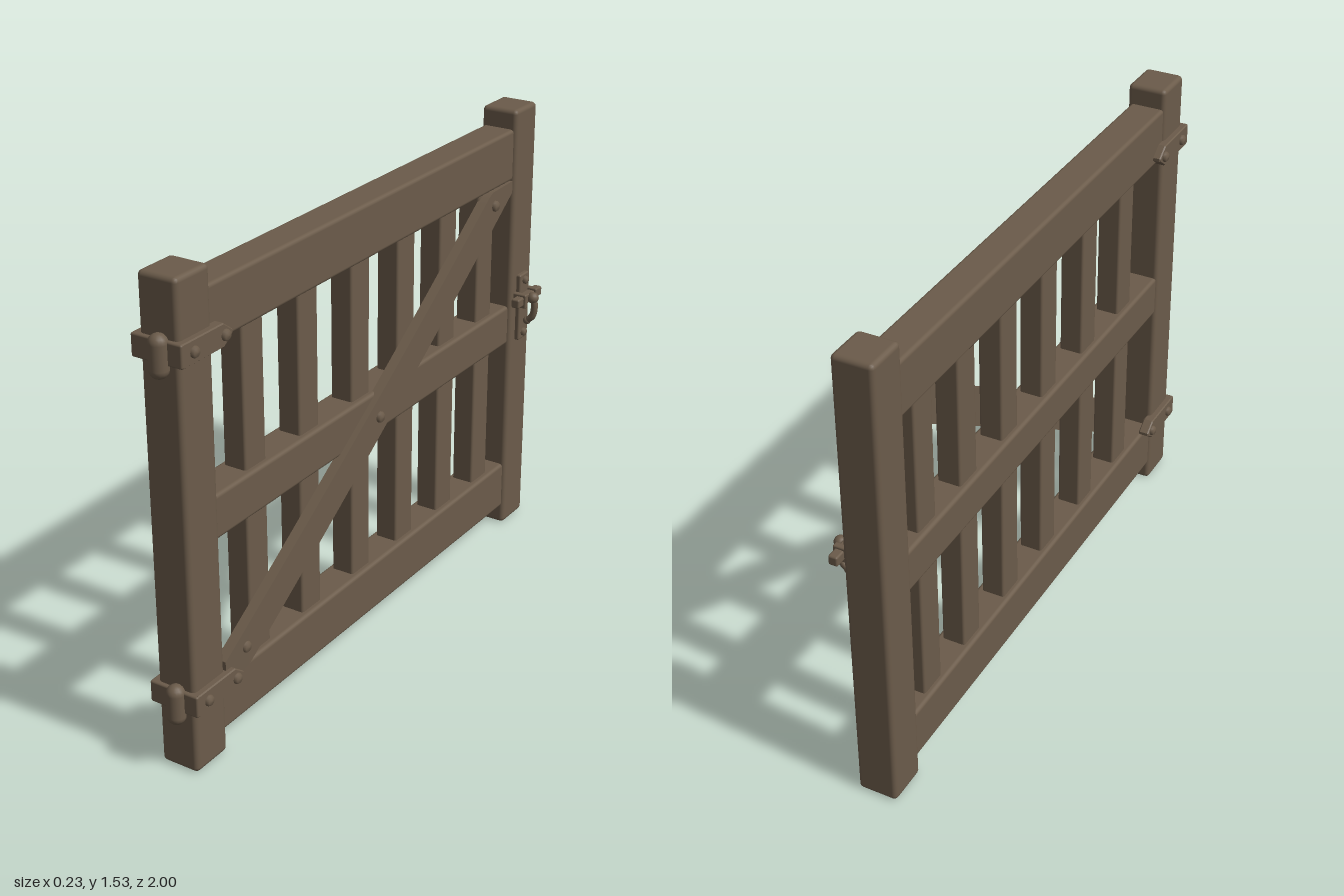
import * as THREE from 'three';
import { RoundedBoxGeometry } from 'three/addons/geometries/RoundedBoxGeometry.js';

const brown = new THREE.MeshStandardMaterial({ color: 0x6b5b4a });
brown.name = 'weathered brown';

export function createModel() {
  const gate = new THREE.Group();
  gate.name = 'gate';

  const add = (name, geometry, x = 0, y = 0, z = 0, parent = gate) => {
    const mesh = new THREE.Mesh(geometry, brown);
    mesh.name = name;
    mesh.position.set(x, y, z);
    parent.add(mesh);
    return mesh;
  };

  // Rounded block given by its limits on each axis
  const block = (name, [x0, x1], [y0, y1], [z0, z1], r = 0.01, parent = gate) =>
    add(name, new RoundedBoxGeometry(x1 - x0, y1 - y0, z1 - z0, 2, r),
      (x0 + x1) / 2, (y0 + y1) / 2, (z0 + z1) / 2, parent);

  // Domed bolt head facing +x (side 1) or -x (side -1)
  const bolt = (name, x, y, z, side = 1, r = 0.018, parent = gate) => {
    const profile = [[r, 0], [r, 0.008], [r * 0.75, 0.014], [0, 0.016]]
      .map(([a, b]) => new THREE.Vector2(a, b));
    const mesh = add(name, new THREE.LatheGeometry(profile, 14), x, y, z, parent);
    mesh.rotation.z = -side * Math.PI / 2;
  };

  // Posts
  block('hingePost', [-0.085, 0.045], [0, 1.53], [0.81, 0.955], 0.015);
  block('latchPost', [-0.085, 0.045], [0, 1.53], [-0.985, -0.845], 0.015);

  // Rails
  const rails = { bottomRail: [0.065, 0.235], middleRail: [0.7, 0.84], topRail: [1.29, 1.465] };
  for (const [name, ySpan] of Object.entries(rails)) {
    block(name, [-0.08, 0.035], ySpan, [-0.86, 0.82], 0.012);
  }

  // Upright slats
  for (const z of [0.592, 0.323, 0.045, -0.215, -0.47, -0.712]) {
    block('slat', [-0.062, 0.015], [0.2, 1.32], [z - 0.05, z + 0.05], 0.008);
  }

  // Diagonal brace: sheared, trimmed at the rails and gently bowed outward
  const brace = new THREE.BoxGeometry(0.034, 0.136, 1.655, 1, 1, 60);
  const p = brace.attributes.position;
  for (let i = 0; i < p.count; i++) {
    const z = p.getZ(i) - 0.0175;
    const t = z / 0.83;
    const y = THREE.MathUtils.clamp(0.765 - 0.654 * z + p.getY(i), 0.23, 1.29);
    const outer = 0.043 + 0.012 * (1 - t * t) + 0.005 * t;
    p.setXYZ(i, p.getX(i) + outer - 0.017, y, z);
  }
  brace.computeVertexNormals();
  add('brace', brace);
  bolt('braceBolt', 0.045, 0.305, 0.71);
  bolt('braceBolt', 0.053, 0.765, 0);
  bolt('braceBolt', 0.04, 1.24, -0.72);
  bolt('braceBoltBack', 0.014, 1.24, -0.72, -1);

  // Hinges: a pointed strap on each face, a band round the post and a knuckle
  const strapShape = new THREE.Shape([
    [-0.96, -0.035], [-0.785, -0.035], [-0.745, -0.005], [-0.745, 0.005],
    [-0.785, 0.035], [-0.96, 0.035],
  ].map(([a, b]) => new THREE.Vector2(a, b)));
  const strapGeometry = new THREE.ExtrudeGeometry(strapShape, {
    depth: 0.028, bevelEnabled: true, bevelThickness: 0.004, bevelSize: 0.003,
    bevelOffset: -0.003, bevelSegments: 1,
  }).rotateY(Math.PI / 2);
  for (const [name, y] of [['lowerHinge', 0.24], ['upperHinge', 1.32]]) {
    const hinge = new THREE.Group();
    hinge.name = name;
    hinge.position.y = y;
    gate.add(hinge);
    add('strap', strapGeometry, 0.033, 0, 0, hinge);
    add('backStrap', strapGeometry, -0.101, 0, 0, hinge);
    block('band', [-0.105, 0.065], [-0.035, 0.035], [0.93, 0.968], 0.006, hinge);
    for (const z of [0.915, 0.78]) {
      bolt('strapBolt', 0.062, 0, z, 1, 0.017, hinge);
      bolt('strapBoltBack', -0.102, 0, z, -1, 0.017, hinge);
    }
    const knuckle = add('knuckle', new THREE.CapsuleGeometry(0.029, 0.075, 5, 16), -0.01, -0.01, 0.97, hinge);
    knuckle.scale.y = 0.98;
  }

  // Latch: back plate, sliding bar, keepers and hanging handle
  const latch = new THREE.Group();
  latch.name = 'latch';
  gate.add(latch);
  block('latchPlate', [0.035, 0.06], [0.705, 0.945], [-0.945, -0.885], 0.006, latch);
  block('latchBar', [0.055, 0.085], [0.845, 0.877], [-0.998, -0.832], 0.006, latch);
  for (const z of [-0.877, -0.952]) {
    block('keeper', [0.04, 0.092], [0.835, 0.885], [z - 0.01, z + 0.01], 0.005, latch);
  }
  add('handlePivot', new THREE.SphereGeometry(0.02, 14, 10), 0.095, 0.862, -0.915, latch);
  const handlePath = new THREE.CatmullRomCurve3([
    [0.098, 0.862], [0.102, 0.83], [0.095, 0.795], [0.075, 0.775],
  ].map(([x, y]) => new THREE.Vector3(x, y, -0.915)));
  add('handle', new THREE.TubeGeometry(handlePath, 14, 0.012, 10), 0, 0, 0, latch);
  add('handleTip', new THREE.SphereGeometry(0.014, 12, 8), 0.075, 0.775, -0.915, latch);
  bolt('plateBolt', 0.058, 0.922, -0.915, 1, 0.014, latch);
  bolt('plateBolt', 0.058, 0.73, -0.915, 1, 0.014, latch);

  return gate;
}
